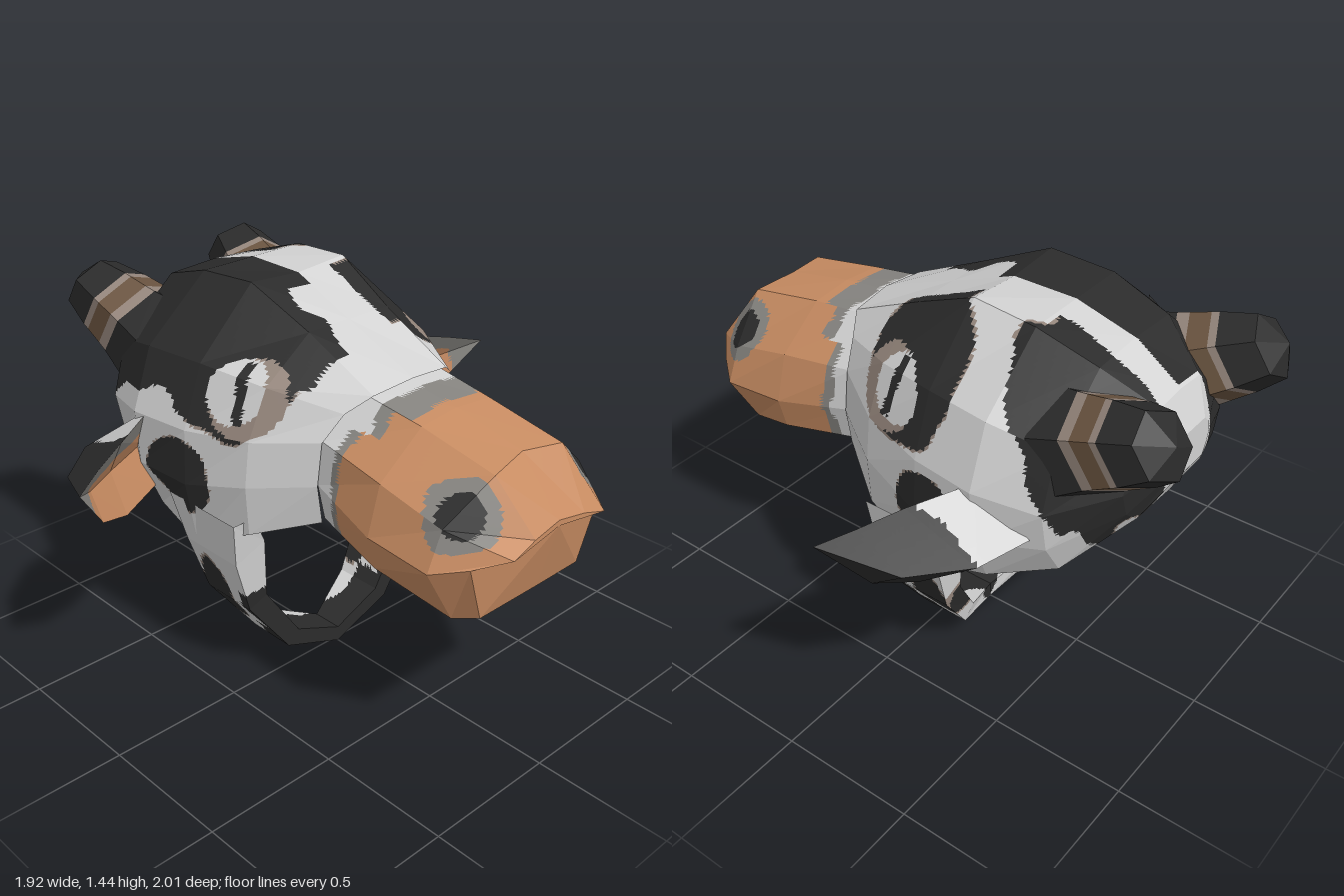
import * as THREE from 'three';

const COLORS = {
  white: 0xd2d2d2, black: 0x2b2b2b, tan: 0xc88c62,
  taupe: 0x95867c, grey: 0x868480, brown: 0x6b5541,
};
const NAMES = Object.keys(COLORS);

// Faceted skin over cross-sections; paint(point, side, band) names the colour of each small face.
function loft(name, mats, rings, paint, n = 1, flip = false) {
  const buckets = Object.fromEntries(NAMES.map((k) => [k, []]));
  const addTriangle = (a, b, c, j, i) => {
    const u = b.clone().sub(a), v = c.clone().sub(a);
    if (u.clone().cross(v).length() < 1e-7) return;
    const at = (p, q) => a.clone().addScaledVector(u, p / n).addScaledVector(v, q / n);
    const emit = (p, q, r) => {
      const mid = p.clone().add(q).add(r).divideScalar(3);
      for (const w of flip ? [p, r, q] : [p, q, r]) buckets[paint(mid, j, i)].push(w.x, w.y, w.z);
    };
    for (let p = 0; p < n; p++) for (let q = 0; q < n - p; q++) {
      emit(at(p, q), at(p + 1, q), at(p, q + 1));
      if (p + q < n - 1) emit(at(p + 1, q), at(p + 1, q + 1), at(p, q + 1));
    }
  };
  for (let i = 0; i < rings.length - 1; i++) for (let j = 0; j < rings[i].length - 1; j++) {
    const [a, b, c, d] = [rings[i][j], rings[i][j + 1], rings[i + 1][j], rings[i + 1][j + 1]];
    addTriangle(a, b, c, j, i);
    addTriangle(b, d, c, j, i);
  }
  const geo = new THREE.BufferGeometry(), all = [];
  NAMES.forEach((k, m) => {
    if (!buckets[k].length) return;
    geo.addGroup(all.length / 3, buckets[k].length / 3, m);
    for (const x of buckets[k]) all.push(x);
  });
  geo.setAttribute('position', new THREE.Float32BufferAttribute(all, 3));
  geo.computeVertexNormals();
  const mesh = new THREE.Mesh(geo, mats);
  mesh.name = name;
  return mesh;
}

const V = (x, y, z) => new THREE.Vector3(x, y, z);
const flipX = (p) => V(-p.x, p.y, p.z);
// Half section (bottom centre to top centre) completed by its mirror image
const section = (z, half) => {
  const pts = half.map(([x, y, pz = z]) => V(x, y, pz));
  return [...pts, ...pts.slice(0, -1).reverse().map(flipX)];
};
const collapse = (ring, p) => ring.map(() => p.clone());
const oval = (a, b, ra, rb) => (a / ra) ** 2 + (b / rb) ** 2;
const wobble = (p) => 0.07 * Math.sin(p.x * 31 + p.z * 23) + 0.06 * Math.sin(p.y * 37 - p.z * 17);

// Cow coat: eyes, eye patches, patches round the horns and on the cheeks, lined underside
function paintHead(p, side, band) {
  const a = Math.abs(p.x), w = wobble(p);
  if (band > 2 && (side === 0 || side === 11)) {
    return oval(p.x, p.z + 0.38, 0.27, 0.25) + w < 1 ? 'black' : 'taupe';
  }
  if (a > 0.2 && p.y > 0.98) {
    if (Math.abs(p.z + 0.01 + (p.y - 1.14) * 0.15) < 0.018 && Math.abs(p.y - 1.15) < 0.09) return 'black';
    if (oval(p.z + 0.03, p.y - 1.15, 0.105, 0.1) < 1) return 'white';
    if (oval(p.z - 0.01, p.y - 1.135, 0.135, 0.12) < 1) return 'taupe';
  }
  const patch = a > 0.13 ? oval(p.z + 0.055, p.y - 1.23, 0.215, 0.23) + w : 9;
  if (patch < 1) return 'black';
  // Large dark area over the right half of the crown
  if (p.x < 0 && p.y > 1.08 + w * 0.3 && p.z > -0.8
    && p.z < 0.21 + w * 0.2 - ((a - 0.19) / 0.2) ** 2 * 0.15
    && a > (p.z > -0.12 ? 0.11 + w * 0.2 : 0.004)) return 'black';
  const inHorn = a > 0.12 + w * 0.15 && p.y > 1.4 + (p.z + 0.36) * 1.6 + w * 0.4;
  const horn = inHorn ? p.distanceTo(V(Math.sign(p.x) * 0.3, 1.17, -0.64)) / 0.36 + w : 9;
  if (horn < 1) return 'black';
  const cheek = a > 0.3 ? oval(p.z + 0.23, p.y - 0.82, 0.15, 0.14) + w : 9;
  if (cheek < 1) return 'black';
  return Math.min(patch, horn + 0.03, cheek) < 1.06 ? 'taupe' : 'white';
}

function paintMuzzle(p) {
  const nostril = p.distanceTo(V(Math.sign(p.x) * 0.27, 0.99, 0.83));
  if (nostril < 0.075) return 'black';
  if (nostril < 0.12 + wobble(p) * 0.1) return 'grey';
  const top = p.y > 1.1 ? 1 : 0;
  const collar = 0.345 + wobble(p) * 0.1 + top * 0.06;
  if (p.z < collar) return 'white';
  return p.z < collar + 0.03 + top * (Math.abs(p.x) < 0.16 ? 0.08 : 0.02) ? 'grey' : 'tan';
}

function paintStrap(p) {
  const w = wobble(p);
  if (p.y < 0.4 && p.z > -0.025 + w * 0.15) return 'black';
  if (p.y < 0.2 && p.z > -0.1 + w * 0.2) return 'black';
  const spot = oval(p.z + 0.15, p.y - 0.35, 0.07, 0.16) + w;
  return spot < 1 ? 'black' : spot < 1.12 ? 'taupe' : 'white';
}

// Ear: tan cup with a grey upper rim in front, black tip and white root behind
function paintEar(p, side) {
  const a = Math.abs(p.x);
  if (side < 2) return p.y > 0.925 - (a - 0.5) * 0.1 || a > 0.87 ? 'grey' : 'tan';
  return a > 0.67 + wobble(p) * 0.15 ? 'black' : 'white';
}

export function createModel() {
  const model = new THREE.Group();
  model.name = 'cowHat';
  const mats = NAMES.map((name) => {
    const m = new THREE.MeshStandardMaterial({ color: COLORS[name] });
    m.name = name;
    return m;
  });

  // Head, back to front, with a nearly flat underside
  const head = [
    section(-0.87, [[0, 0.98], [0.08, 0.98], [0.1, 1.02], [0.11, 1.06], [0.1, 1.1], [0.07, 1.13], [0, 1.13]]),
    section(-0.81, [[0, 0.86], [0.2, 0.87], [0.27, 0.93], [0.3, 1.02], [0.25, 1.13], [0.12, 1.24], [0, 1.25]]),
    section(-0.64, [[0, 0.69], [0.37, 0.69], [0.45, 0.82], [0.48, 0.97], [0.42, 1.17], [0.2, 1.36], [0, 1.37]]),
    section(-0.42, [[0, 0.67], [0.46, 0.61], [0.54, 0.8], [0.55, 1.0], [0.47, 1.22], [0.22, 1.43], [0, 1.43]]),
    section(-0.18, [[0, 0.66], [0.49, 0.56], [0.53, 0.8], [0.52, 1.0], [0.44, 1.22], [0.21, 1.445], [0, 1.43]]),
    section(0.07, [[0, 0.68], [0.46, 0.68], [0.47, 0.86], [0.45, 1.02], [0.37, 1.19], [0.18, 1.33], [0, 1.33]]),
    section(0.28, [[0, 0.76], [0.32, 0.76], [0.34, 0.9], [0.32, 1.05], [0.25, 1.14, 0.31],
      [0.17, 1.195, 0.36], [0, 1.21, 0.37]]),
  ];
  head.unshift(collapse(head[0], V(0, 1.05, -0.87)));
  model.add(loft('head', mats, head, paintHead, 16));

  // Muzzle, closed at both ends
  const muzzle = [
    section(0.27, [[0, 0.77], [0.3, 0.765], [0.33, 0.9], [0.31, 1.05], [0.17, 1.195], [0, 1.205]]),
    section(0.56, [[0, 0.73], [0.36, 0.73], [0.39, 0.85], [0.34, 1.02], [0.16, 1.155], [0, 1.17]]),
    section(0.81, [[0, 0.665], [0.27, 0.62], [0.39, 0.83], [0.33, 0.96], [0.16, 1.1, 0.86], [0, 1.115, 0.83]]),
    section(0.99, [[0, 0.67, 0.92], [0.24, 0.65, 0.9], [0.31, 0.855, 0.91], [0.22, 0.89, 1],
      [0.12, 0.92, 0.995], [0, 0.94, 0.99]]),
  ];
  muzzle.unshift(collapse(muzzle[0], V(0, 0.98, 0.27)));
  muzzle.push(collapse(muzzle[1], V(0, 0.92, 0.99)));
  model.add(loft('muzzle', mats, muzzle, paintMuzzle, 14));

  // Chin strap: outer x, y, inner x, y, front z, back z
  const strapHalf = [
    [0.51, 0.72, 0.42, 0.72, 0.05, -0.3], [0.49, 0.55, 0.36, 0.6, 0.03, -0.24],
    [0.42, 0.33, 0.34, 0.36, 0.01, -0.22], [0.25, 0.1, 0.2, 0.15, 0.02, -0.17],
    [0, 0.005, 0, 0.065, 0.02, -0.1],
  ].map(([ox, oy, ix, iy, f, b]) =>
    [V(ox, oy, f), V(ix, iy, f), V(ix, iy, b), V(ox, oy, b), V(ox, oy, f)]);
  const strap = [...strapHalf, ...strapHalf.slice(0, -1).reverse().map((r) => r.map(flipX))];
  model.add(loft('chinStrap', mats, strap, paintStrap, 14));

  // Ear sections: upper edge, cup, lower edge, back ridge
  const ear = [
    [V(0.5, 1, -0.4), V(0.5, 0.85, -0.46), V(0.5, 0.7, -0.4), V(0.48, 0.86, -0.6)],
    [V(0.7, 0.975, -0.29), V(0.7, 0.84, -0.37), V(0.68, 0.68, -0.32), V(0.68, 0.86, -0.55)],
    [V(0.84, 0.95, -0.22), V(0.84, 0.85, -0.28), V(0.82, 0.735, -0.25), V(0.85, 0.86, -0.4)],
  ].map((r) => [...r, r[0]]);
  ear.push(collapse(ear[0], V(0.96, 0.925, -0.15)));

  // Horn: six-sided, striped, leaning back, with a blunt point; [distance, radius]
  const axis = V(0.15, 0.55, -0.8).normalize();
  const u = V(1, 0, 0).cross(axis).normalize(), v = axis.clone().cross(u);
  const horn = [[0, 0.2], [0.3, 0.17], [0.41, 0.162], [0.6, 0.15], [0.67, 0.146],
    [0.98, 0.115], [1.13, 0]].map(([t, r]) => Array.from({ length: 7 }, (_, k) => {
    const angle = (k % 6) * Math.PI / 3;
    return V(0.27 + 0.07 * t, 1.13 + 0.16 * t, -0.62 - 0.33 * t)
      .addScaledVector(u, r * Math.cos(angle)).addScaledVector(v, r * Math.sin(angle));
  }));
  const stripes = ['black', 'taupe', 'brown', 'taupe', 'black', 'black'];

  for (const [side, mirrored] of [['left', false], ['right', true]]) {
    const place = (rings) => (mirrored ? rings.map((r) => r.map(flipX)) : rings);
    model.add(loft(side + 'Ear', mats, place(ear), paintEar, 12, mirrored));
    model.add(loft(side + 'Horn', mats, place(horn), (p, j, i) => stripes[i], 1, mirrored));
  }
  return model;
}
